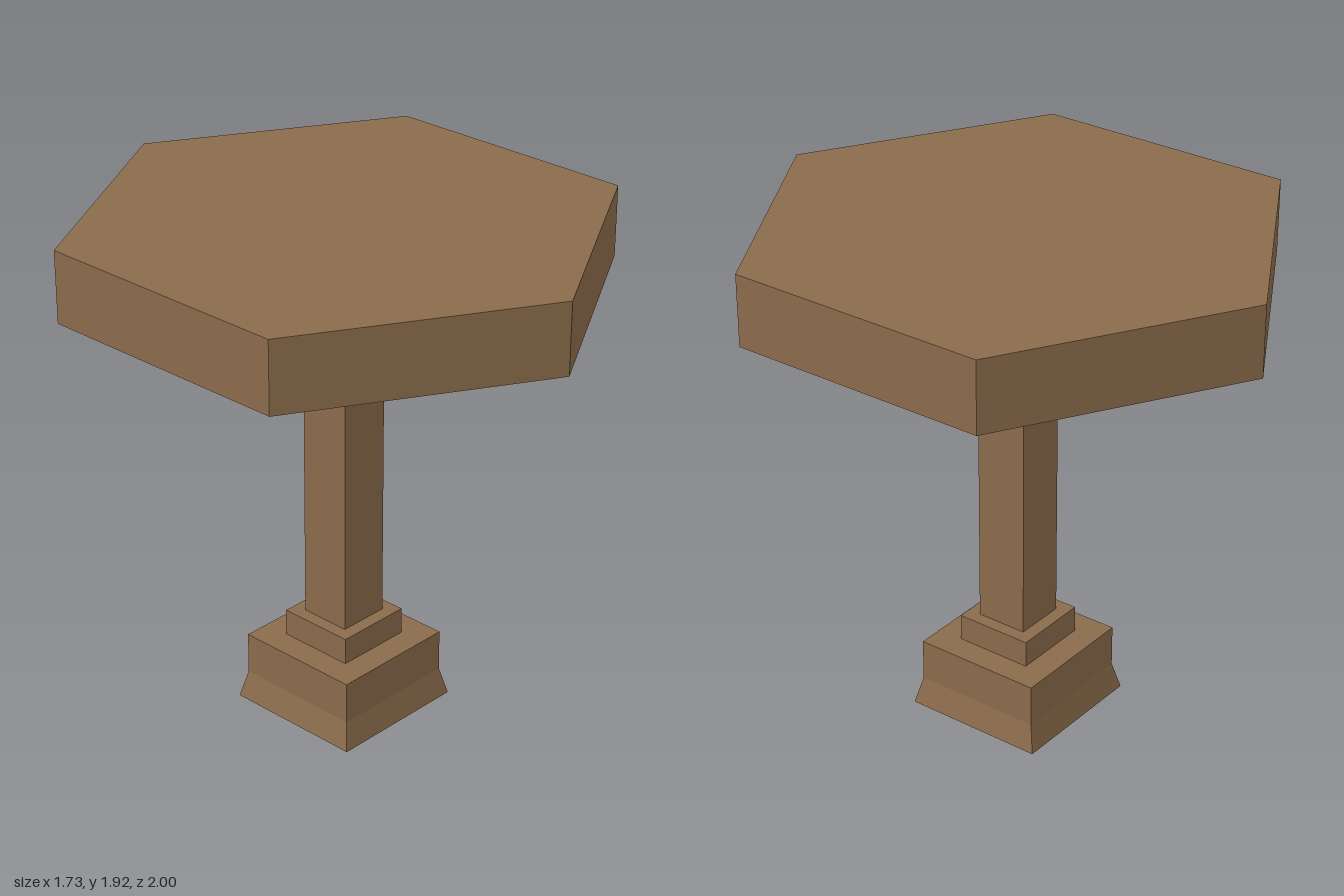
import * as THREE from 'three';

export function createModel() {
  const group = new THREE.Group();
  const wood = new THREE.MeshStandardMaterial({ color: 0x8b6b4b, flatShading: true });
  wood.name = 'brown wood';

  const add = (name, geometry, bottom, top) => {
    const mesh = new THREE.Mesh(geometry, wood);
    mesh.name = name;
    mesh.position.y = (bottom + top) / 2;
    group.add(mesh);
  };

  // Square section, given half widths at its bottom and top
  const square = (name, bottom, top, halfBottom, halfTop = halfBottom) => {
    const geometry = new THREE.CylinderGeometry(
      halfTop * Math.SQRT2, halfBottom * Math.SQRT2, top - bottom, 4);
    geometry.rotateY(Math.PI / 4);
    add(name, geometry, bottom, top);
  };

  // Stepped foot with a flared skirt
  square('flaredFoot', 0, 0.105, 0.275, 0.25);
  square('plinth', 0.105, 0.265, 0.25);
  square('collar', 0.265, 0.367, 0.15);

  // Post
  square('post', 0.367, 1.655, 0.1);

  // Hexagonal top with corners pointing front and back
  add('tableTop', new THREE.CylinderGeometry(1, 1, 0.267, 6), 1.655, 1.922);

  return group;
}
